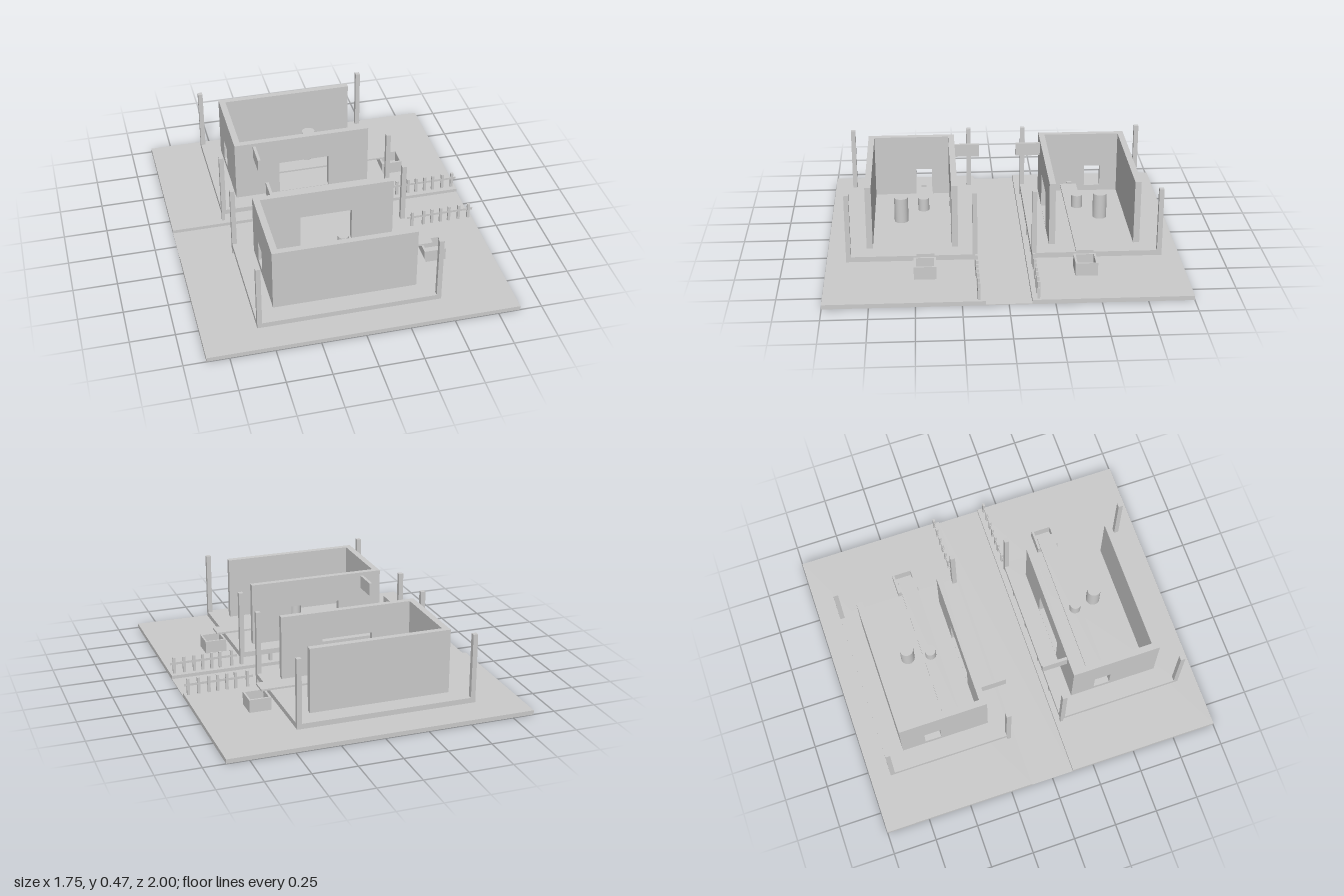
import * as THREE from 'three';

const mat = new THREE.MeshStandardMaterial({ color: 0xcccccc, flatShading: true });
const smooth = new THREE.MeshStandardMaterial({ color: 0xcccccc });

function add(parent, name, geometry, material = mat) {
  const mesh = new THREE.Mesh(geometry, material);
  mesh.name = name;
  parent.add(mesh);
  return mesh;
}

// Rectangle path, used for outlines and holes
function rect(path, x0, x1, y0, y1) {
  path.moveTo(x0, y0);
  path.lineTo(x1, y0);
  path.lineTo(x1, y1);
  path.lineTo(x0, y1);
  path.closePath();
  return path;
}

// One stall on the side s (+1 or -1) of the lane; z is given as distance from the lane centre
function buildSide(s) {
  const side = new THREE.Group();
  side.name = s > 0 ? 'frontStall' : 'backStall';

  const box = (name, x0, x1, y0, y1, z0, z1) => {
    const m = add(side, name, new THREE.BoxGeometry(x1 - x0, y1 - y0, z1 - z0));
    m.position.set((x0 + x1) / 2, (y0 + y1) / 2, s * (z0 + z1) / 2);
  };
  const cylinder = (name, x, z, r, y0, y1) => {
    const m = add(side, name, new THREE.CylinderGeometry(r, r, y1 - y0, 32), smooth);
    m.position.set(x, (y0 + y1) / 2, s * z);
  };

  // Ground and raised deck
  box('groundSlab', -0.875, 0.875, 0, 0.025, 0.125, 1);
  box('deck', -0.575, 0.453, 0.07, 0.1, 0.152, 0.883);
  for (const x of [-0.566, -0.367, -0.174, 0.051, 0.265, 0.444])
    box('deckStilt', x - 0.009, x + 0.009, 0.025, 0.07, 0.153, 0.171);

  // Corner posts
  for (const x of [-0.575, 0.426])
    for (const z of [0.152, 0.856])
      box('cornerPost', x, x + 0.027, 0.1, 0.47, z, z + 0.027);

  // Outer long wall
  box('outerWall', -0.465, 0.343, 0.1, 0.47, 0.737, 0.772);

  // Inner long wall with doorway
  const inner = rect(new THREE.Shape(), -0.465, 0.343, 0.1, 0.47);
  inner.holes.push(rect(new THREE.Path(), -0.2, 0.1, 0.102, 0.308));
  add(side, 'innerWall', new THREE.ExtrudeGeometry(inner, { depth: 0.035, bevelEnabled: false }))
    .position.z = s > 0 ? 0.257 : -0.292;

  // End wall with small window, drawn in z and turned to face along x
  const end = rect(new THREE.Shape(), -0.737, -0.292, 0.1, 0.47);
  end.holes.push(rect(new THREE.Path(), -0.49, -0.395, 0.134, 0.262));
  const endGeometry = new THREE.ExtrudeGeometry(end, { depth: 0.037, bevelEnabled: false });
  endGeometry.rotateY(Math.PI / 2);
  if (s < 0) endGeometry.translate(0, 0, -1.029);
  add(side, 'endWall', endGeometry).position.x = -0.465;

  // Long counter with its support, and the drums
  box('counter', -0.428, 0.525, 0.134, 0.145, 0.392, 0.49);
  box('counterSupport', -0.4, -0.32, 0.1, 0.134, 0.41, 0.487);
  box('counterLatch', -0.425, -0.413, 0.15, 0.163, 0.43, 0.46);
  cylinder('smallDrum', 0.01, 0.447, 0.032, 0.187, 0.262);
  cylinder('largeDrum', 0.052, 0.577, 0.04, 0.138, 0.285);

  // Hanging sign board over the lane
  box('signBoard', -0.357, -0.34, 0.373, 0.45, 0.11, 0.258);

  // Open planter under the counter end
  const planter = rect(new THREE.Shape(), 0.473, 0.6, 0.383, 0.508);
  planter.holes.push(rect(new THREE.Path(), 0.485, 0.59, 0.395, 0.496));
  const planterGeometry = new THREE.ExtrudeGeometry(planter, { depth: 0.075, bevelEnabled: false });
  planterGeometry.rotateX(Math.PI / 2);
  if (s < 0) planterGeometry.translate(0, 0, -0.891);
  add(side, 'planterRim', planterGeometry).position.y = 0.1;
  box('planterFloor', 0.485, 0.59, 0.025, 0.035, 0.395, 0.496);

  // Fence along the lane
  box('fenceRail', 0.473, 0.875, 0.079, 0.093, 0.157, 0.163);
  for (const x of [0.505, 0.575, 0.626, 0.68, 0.731, 0.791, 0.851])
    box('fencePost', x - 0.008, x + 0.008, 0.025, 0.122, 0.153, 0.167);

  return side;
}

export function createModel() {
  const group = new THREE.Group();
  group.name = 'marketStalls';

  // Sunken lane between the two sides
  add(group, 'lane', new THREE.BoxGeometry(1.75, 0.005, 0.25)).position.y = 0.0025;

  group.add(buildSide(1), buildSide(-1));
  return group;
}
